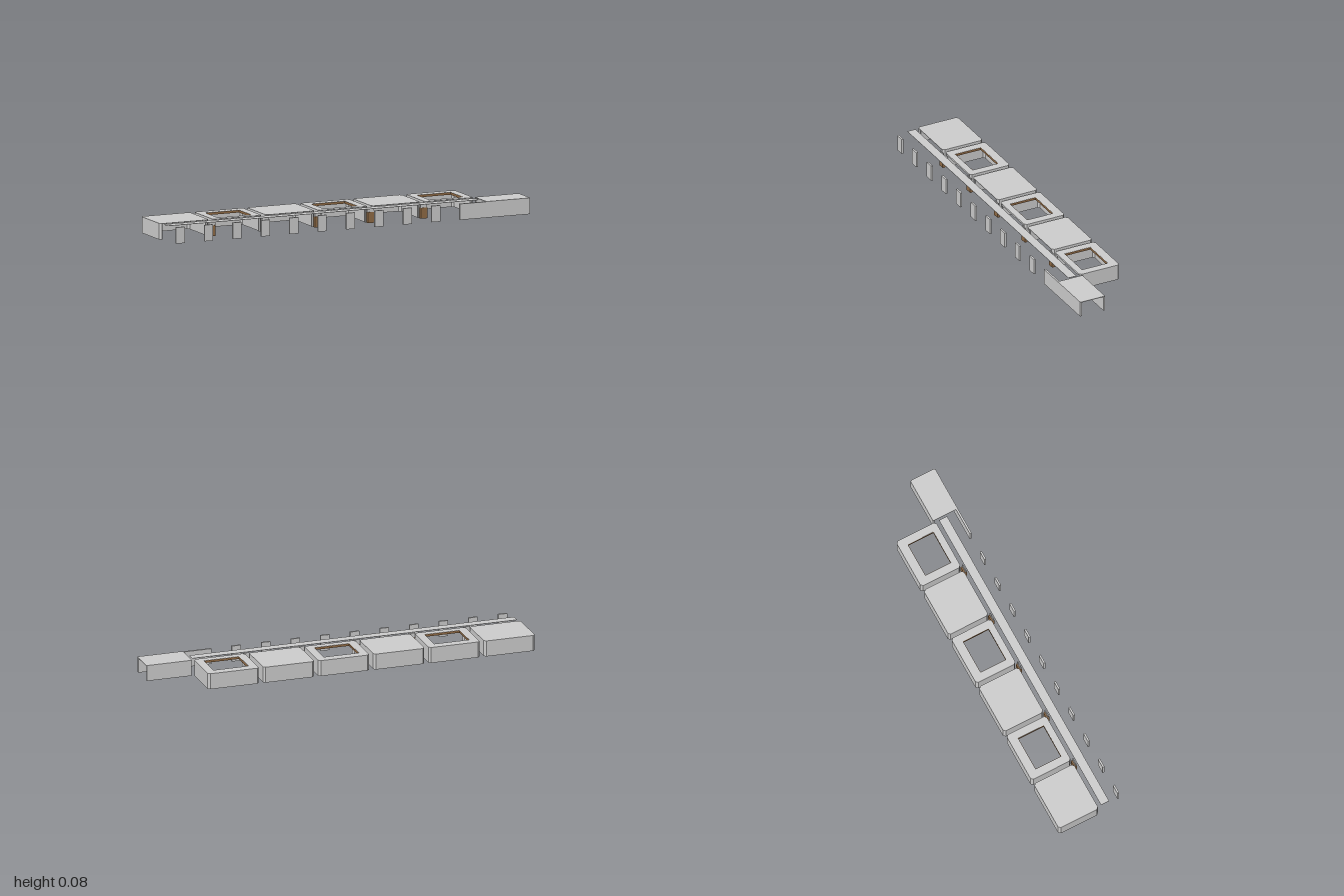
import * as THREE from 'three';

const grey = new THREE.MeshStandardMaterial({ color: 0xcccccc, flatShading: true });
const brown = new THREE.MeshStandardMaterial({ color: 0x8f6a45, flatShading: true });
const H = 0.083;       // overall height
const T = 0.008;       // wall thickness
const PITCH = 0.2945;  // spacing of the room units
const W = 0.272, BACK = -0.18, FRONT = 0.048, C = 0.011;

function box(parent, name, x0, x1, y0, y1, z0, z1, material = grey) {
  const mesh = new THREE.Mesh(new THREE.BoxGeometry(x1 - x0, y1 - y0, z1 - z0), material);
  mesh.position.set((x0 + x1) / 2, (y0 + y1) / 2, (z0 + z1) / 2);
  mesh.name = name;
  parent.add(mesh);
  return mesh;
}

// Points are plan [x, z] pairs; the shape is raised from y0 to y1
function plan(parent, name, points, y0, y1, hole) {
  const toVec = ([x, z]) => new THREE.Vector2(x, -z);
  const shape = new THREE.Shape(points.map(toVec));
  if (hole) shape.holes.push(new THREE.Path(hole.map(toVec)));
  const geo = new THREE.ExtrudeGeometry(shape, { depth: y1 - y0, bevelEnabled: false });
  geo.rotateX(-Math.PI / 2);
  geo.translate(0, y0, 0);
  const mesh = new THREE.Mesh(geo, grey);
  mesh.name = name;
  parent.add(mesh);
  return mesh;
}

// Rectangle with cut corners
const octagon = (x0, x1, z0, z1, c) => [
  [x0 + c, z0], [x1 - c, z0], [x1, z0 + c], [x1, z1 - c],
  [x1 - c, z1], [x0 + c, z1], [x0, z1 - c], [x0, z0 + c],
];

function roomUnit(index) {
  const unit = new THREE.Group();
  unit.name = 'roomUnit';
  const w = W / 2, c = C, i = w - T, k = c - 0.003;
  // Three-sided wall, open at the front, with short turned-in front ends
  const half = [
    [w - c, FRONT], [w, FRONT - c], [w, BACK + c], [w - c, BACK],
  ];
  const inner = [
    [w - c - T, BACK + T], [i, BACK + T + k], [i, FRONT - c - 0.003], [w - c - 0.005, FRONT - 0.005],
  ];
  const mirror = (list) => list.map(([x, z]) => [-x, z]).reverse();
  plan(unit, 'walls', [...half, ...mirror(half), ...mirror(inner), ...inner], 0, H - 0.003);

  const outline = octagon(-w, w, BACK, FRONT, c);
  if (index % 2 === 0) {
    plan(unit, 'roof', outline, H - 0.003, H);
  } else {
    // Thick roof with a wood-lined opening
    const x = 0.094, z0 = -0.134, z1 = 0.013, y = 0.071, t = 0.003;
    plan(unit, 'openRoof', outline, H - 0.003, H, [[-x, z0], [-x, z1], [x, z1], [x, z0]]);
    plan(unit, 'roofUnderside', octagon(-i, i, BACK + T, FRONT - 0.002, c), y, H - 0.003,
      [[-x, z0], [-x, z1], [x, z1], [x, z0]]);
    for (const s of [-1, 1]) {
      box(unit, 'openingLiningSide', s * x - t / 2, s * x + t / 2, y - 0.0005, H - 0.001, z0, z1, brown);
    }
    for (const z of [z0, z1]) {
      box(unit, 'openingLiningEnd', -x, x, y - 0.0005, H - 0.001, z - t / 2, z + t / 2, brown);
    }
  }
  return unit;
}

export function createModel() {
  const model = new THREE.Group();
  model.name = 'pavilionRow';

  // Row of rooms, alternating closed and open roofs
  for (let n = 0; n < 6; n++) {
    const unit = roomUnit(n);
    unit.position.x = -1 + W / 2 + n * PITCH;
    model.add(unit);
  }

  // Wooden stands with an upright panel in front of each gap
  for (let n = 1; n < 6; n++) {
    const x = -1 + n * PITCH - (PITCH - W) / 2;
    box(model, 'woodStand', x - 0.018, x + 0.018, 0, 0.055, 0.049, 0.065, brown);
    box(model, 'standPanel', x - 0.018, x + 0.018, 0.055, H - 0.002, 0.057, 0.062);
  }

  // Long flat walkway canopy
  box(model, 'walkwayCanopy', -0.988, 0.745, H - 0.003, H - 0.001, 0.067, 0.113);

  // Line of front slabs
  for (let n = 0; n < 10; n++) {
    const x = -0.948 + n * 0.158;
    box(model, 'frontSlab', x - 0.024, x + 0.024, 0, H, 0.169, 0.179);
  }

  // End shelter: roof, long front wall, short back wall, open ends
  const shelter = new THREE.Group();
  shelter.name = 'endShelter';
  plan(shelter, 'shelterRoof', octagon(0.755, 1, 0.039, 0.18, 0.005), H - 0.003, H);
  box(shelter, 'shelterFrontWall', 0.607, 0.997, 0, H - 0.001, 0.17, 0.18);
  box(shelter, 'shelterBackWall', 0.758, 0.997, 0, H - 0.002, 0.039, 0.048);
  model.add(shelter);

  return model;
}
